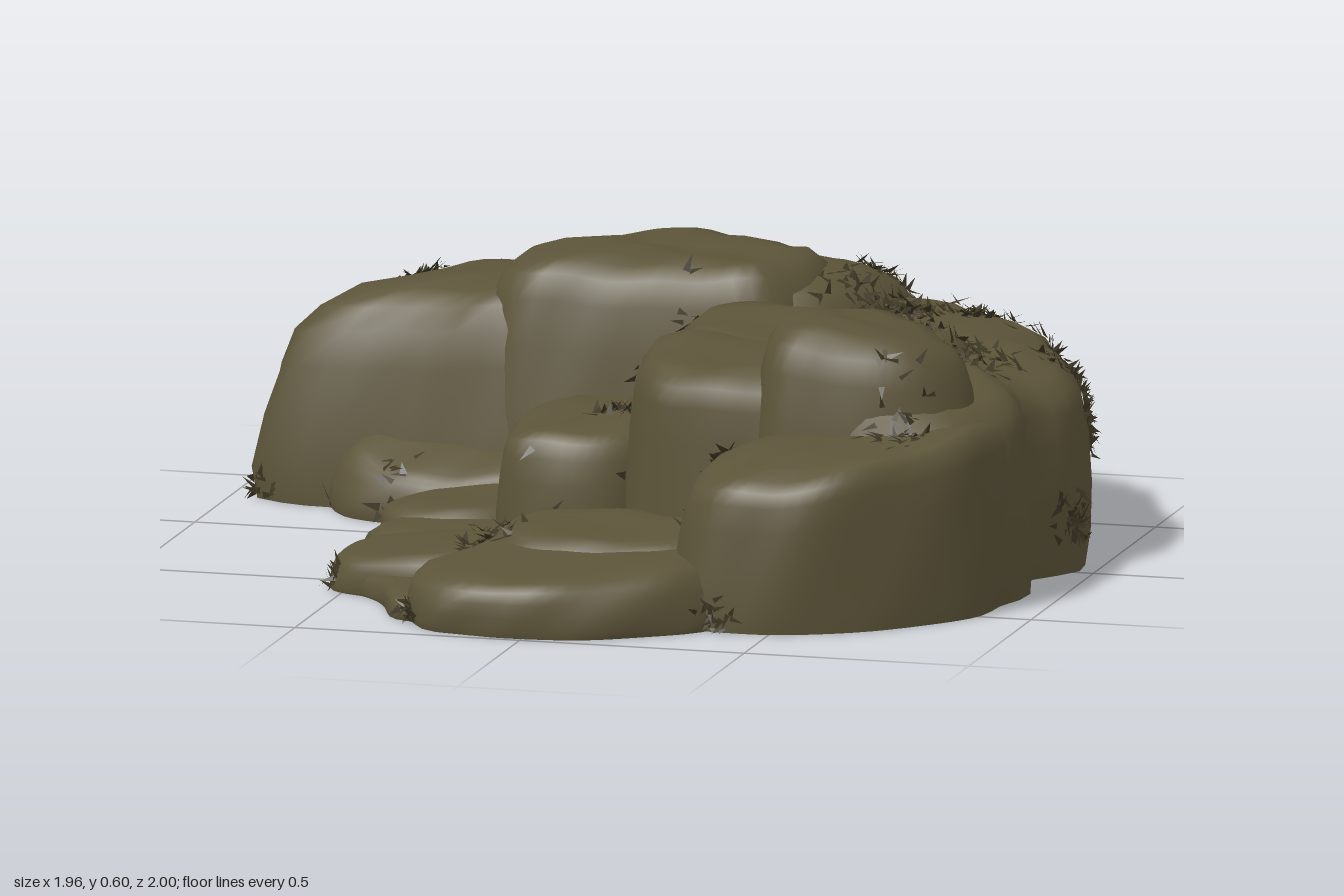
import * as THREE from 'three';

const SEGMENTS = 52;
// [outline scale, height fraction] from the ground to the crown
const BOULDER = [[0.985, 0], [1, 0.12], [1, 0.35], [0.985, 0.58], [0.955, 0.77], [0.9, 0.9], [0.8, 0.97], [0.62, 1], [0.42, 1.01], [0.2, 1]];
const CLIFF = [[0.985, 0], [1, 0.15], [0.99, 0.4], [0.975, 0.65], [0.95, 0.82], [0.91, 0.91], [0.82, 0.97], [0.62, 1], [0.42, 1], [0.2, 1]];
const SLOPED = [[0.985, 0], [1, 0.15], [0.97, 0.4], [0.93, 0.65], [0.88, 0.83], [0.82, 0.93], [0.72, 0.985], [0.55, 1], [0.35, 1.01], [0.15, 1]];
const SLAB = [[0.98, 0], [1, 0.15], [0.98, 0.4], [0.955, 0.62], [0.925, 0.78], [0.86, 0.88], [0.75, 0.95], [0.58, 1], [0.38, 1.02], [0.18, 1.02]];

// Weathered surface variation
function bump(x, y, z) {
  return 0.5 * Math.sin(9 * x + 4 * z + 2 * y) + 0.35 * Math.sin(15 * z - 8 * x + 5 * y + 1)
    + 0.3 * Math.sin(23 * x + 19 * z - 4 * y + 2);
}

// Loft one rock from its plan outline; tilt slopes the crown, lean shifts it along x and z
function rockGeometry({ outline, height, tilt = [0, 0], lean = [0, 0], profile = BOULDER }) {
  const corners = outline.map(([x, z]) => new THREE.Vector3(x, 0, z));
  const area = THREE.ShapeUtils.area(outline.map(([x, z]) => new THREE.Vector2(x, z)));
  if (area < 0) corners.reverse();
  const plan = new THREE.CatmullRomCurve3(corners, true, 'centripetal').getSpacedPoints(SEGMENTS).slice(0, SEGMENTS);
  const centre = plan.reduce((sum, p) => sum.add(p), new THREE.Vector3()).divideScalar(SEGMENTS);
  const positions = [];
  const index = [];

  const addPoint = (x, z, fraction) => {
    const top = height + tilt[0] * (x - centre.x) + tilt[1] * (z - centre.z);
    const lift = fraction * fraction * Math.min(0.014, height * 0.05) * bump(x * 1.3, 0, z * 1.3);
    positions.push(x + lean[0] * fraction, fraction * top + lift, z + lean[1] * fraction);
  };
  for (const [scale, fraction] of profile) {
    for (const p of plan) {
      const s = scale * (1 + 0.025 * bump(p.x * 1.4, fraction, p.z * 1.4)) - 0.006;
      addPoint(centre.x + (p.x - centre.x) * s, centre.z + (p.z - centre.z) * s, fraction);
    }
  }
  const crown = positions.length / 3;
  addPoint(centre.x, centre.z, 1);

  // Separate underside keeps the ground edge sharp
  const under = positions.length / 3;
  positions.push(...positions.slice(0, SEGMENTS * 3), centre.x, 0, centre.z);
  const last = (profile.length - 1) * SEGMENTS;
  for (let j = 0; j < SEGMENTS; j++) {
    const k = (j + 1) % SEGMENTS;
    for (let row = 0; row < last; row += SEGMENTS) {
      const a = row + j, b = row + k, c = a + SEGMENTS, d = b + SEGMENTS;
      index.push(a, c, b, b, c, d);
    }
    index.push(last + j, crown, last + k);
    index.push(under + j, under + k, under + SEGMENTS);
  }
  const geometry = new THREE.BufferGeometry();
  geometry.setAttribute('position', new THREE.Float32BufferAttribute(positions, 3));
  geometry.setIndex(index);
  geometry.computeVertexNormals();
  return geometry;
}

const ROCKS = {
  backSlab: { height: 0.5, tilt: [0.09, 0.11], lean: [0.05, -0.035], profile: SLAB,
    outline: [[-0.96, -0.27], [-0.91, -0.56], [-0.73, -0.74], [-0.5, -0.88], [-0.12, -0.975], [0.12, -0.94], [0.38, -0.78],
      [0.45, -0.5], [0.32, -0.23], [0, -0.2], [-0.4, -0.17], [-0.7, -0.21]] },
  backCap: { height: 0.562, tilt: [0.02, 0.06], lean: [0, -0.02], profile: SLOPED,
    outline: [[-0.42, -0.2], [0, -0.18], [0.26, -0.19], [0.36, -0.43], [0.22, -0.7], [-0.1, -0.78], [-0.4, -0.66], [-0.5, -0.42]] },
  rightMass: { height: 0.46, tilt: [-0.07, 0.03], profile: CLIFF,
    outline: [[0.1, -0.6], [0.36, -0.77], [0.73, -0.63], [0.82, -0.47], [0.94, -0.22], [0.97, 0], [0.9, 0.12],
      [0.93, 0.27], [0.86, 0.48], [0.6, 0.52], [0.15, 0.25], [0.02, 0], [0.02, -0.25]] },
  middleTerrace: { height: 0.5, profile: SLOPED,
    outline: [[0.01, -0.24], [0.3, -0.32], [0.66, -0.25], [0.78, 0], [0.7, 0.2], [0.3, 0.2], [0.05, 0.1], [0, -0.08]] },
  upperLeftBoulder: { height: 0.495, profile: CLIFF,
    outline: [[0.05, 0.04], [0.3, -0.02], [0.52, 0.08], [0.52, 0.4], [0.3, 0.45], [0.1, 0.4], [0.03, 0.24]] },
  peakBoulder: { height: 0.575, tilt: [-0.09, 0.04], lean: [-0.015, 0], profile: SLOPED,
    outline: [[0.38, 0.04], [0.55, 0], [0.7, 0.09], [0.86, 0.32], [0.8, 0.45], [0.55, 0.5], [0.38, 0.46]] },
  frontRightBoulder: { height: 0.375, tilt: [0.12, -0.09], lean: [0.015, 0], profile: CLIFF,
    outline: [[0.25, 0.64], [0.3, 0.46], [0.55, 0.38], [0.88, 0.28], [0.89, 0.48], [0.76, 0.66], [0.55, 0.8], [0.32, 0.79]] },
  frontLedge: { height: 0.14, tilt: [0.04, -0.03],
    outline: [[-0.2, 0.37], [0.1, 0.33], [0.38, 0.45], [0.38, 0.78], [0.22, 0.92], [0.02, 0.995], [-0.22, 0.96],
      [-0.3, 0.8], [-0.22, 0.6]] },
  ledgeCrown: { height: 0.165, tilt: [0.04, 0], profile: SLOPED,
    outline: [[-0.2, 0.38], [0.1, 0.33], [0.36, 0.45], [0.34, 0.66], [0.1, 0.74], [-0.15, 0.68]] },
  frontLeftStone: { height: 0.1, tilt: [0.1, 0],
    outline: [[-0.53, 0.43], [-0.44, 0.36], [-0.23, 0.36], [-0.17, 0.5], [-0.22, 0.66], [-0.42, 0.66], [-0.53, 0.6]] },
  frontFooting: { height: 0.055,
    outline: [[-0.53, 0.56], [-0.4, 0.7], [-0.3, 0.87], [0.05, 0.8], [0, 0.5], [-0.3, 0.45]] },
  middleStep: { height: 0.295,
    outline: [[-0.3, 0.05], [-0.26, -0.16], [-0.2, -0.28], [0.05, -0.28], [0.06, 0.12], [-0.04, 0.22], [-0.26, 0.2]] },
  leftStep: { height: 0.095, tilt: [0.06, 0],
    outline: [[-0.57, 0], [-0.5, -0.12], [-0.25, -0.16], [-0.23, 0.1], [-0.36, 0.18], [-0.54, 0.13]] },
  hollowFloor: { height: 0.075,
    outline: [[-0.56, 0.2], [-0.48, 0.04], [-0.1, 0], [0.35, 0.15], [0.5, 0.5], [0.2, 0.6], [-0.15, 0.5], [-0.42, 0.38], [-0.47, 0.3]] },
  slabFoot: { height: 0.16, tilt: [0, -0.45], profile: SLOPED,
    outline: [[-0.76, -0.24], [-0.71, -0.14], [-0.57, -0.08], [-0.4, -0.07], [-0.1, -0.15], [-0.1, -0.3], [-0.5, -0.34]] },
};

// Growth on upper faces: x, z, spread, leaf count
const TOP_GROWTH = [
  [0.42, -0.42, 0.15, 190], [0.58, -0.58, 0.1, 90], [0.36, -0.68, 0.08, 40], [-0.25, -0.87, 0.08, 40],
  [-0.65, -0.57, 0.07, 30], [0.72, -0.03, 0.13, 90], [0.88, -0.2, 0.08, 40], [0.7, 0.49, 0.09, 45],
  [0.29, 0.5, 0.06, 30], [-0.18, 0.6, 0.08, 40], [-0.06, 0.02, 0.06, 25], [-0.22, 0.29, 0.1, 40],
  [-0.6, -0.12, 0.06, 15], [0.03, -0.2, 0.06, 20], [0.02, 0.24, 0.05, 20],
];
// Growth on outer walls: bearing, height, spread, leaf count
const WALL_GROWTH = [
  [0.22, 0.3, 0.11, 130], [0, 0.12, 0.07, 40], [0.62, 0.33, 0.1, 45], [0.72, 0.15, 0.1, 45], [0.9, 0.3, 0.1, 50],
  [1.2, 0.22, 0.1, 50], [1.5, 0.36, 0.08, 30], [1.75, 0.25, 0.1, 30], [2.2, 0.35, 0.1, 25], [2.6, 0.1, 0.07, 15],
  [2.86, 0.03, 0.04, 20], [-2.28, 0.03, 0.04, 16], [-1.87, 0.03, 0.04, 22], [-1.13, 0.03, 0.05, 20],
  [0.85, 0.05, 0.06, 25],
];

function growthGeometry(rocks) {
  let seed = 17;
  const random = () => (seed = (seed * 16807) % 2147483647) / 2147483647;
  const spread = (r) => (random() + random() - 1) * r;
  const ray = new THREE.Raycaster();
  const positions = [];

  // A small leaf lying along the rock face, its tip slightly raised
  const addLeaf = (origin, direction) => {
    ray.set(origin, direction);
    const hit = ray.intersectObjects(rocks, false)[0];
    if (!hit) return;
    const normal = hit.face.normal;
    const root = hit.point.clone().addScaledVector(normal, 0.003);
    const along = new THREE.Vector3(spread(1), spread(1), spread(1)).projectOnPlane(normal).normalize();
    const side = new THREE.Vector3().crossVectors(along, normal).multiplyScalar(0.005 + 0.005 * random());
    const tip = root.clone().addScaledVector(along, 0.025 + 0.015 * random()).addScaledVector(normal, 0.025 * random());
    for (const p of [root.clone().add(side), root.clone().sub(side), tip]) positions.push(p.x, Math.max(p.y, 0), p.z);
  };
  for (const [x, z, r, count] of TOP_GROWTH) {
    for (let i = 0; i < count; i++) {
      addLeaf(new THREE.Vector3(x + spread(r), 2, z + spread(r)), new THREE.Vector3(0, -1, 0));
    }
  }
  for (const [bearing, y, r, count] of WALL_GROWTH) {
    for (let i = 0; i < count; i++) {
      const a = bearing + spread(r);
      const outward = new THREE.Vector3(Math.cos(a), 0, -Math.sin(a));
      const origin = outward.clone().multiplyScalar(2).setY(Math.max(0.01, y + spread(r)));
      addLeaf(origin, outward.negate());
    }
  }
  const geometry = new THREE.BufferGeometry();
  geometry.setAttribute('position', new THREE.Float32BufferAttribute(positions, 3));
  geometry.computeVertexNormals();
  return geometry;
}

export function createModel() {
  const group = new THREE.Group();
  group.name = 'rockOutcrop';
  const stone = new THREE.MeshStandardMaterial({ color: 0x5c5439 });
  stone.name = 'mossy stone';
  const growth = new THREE.MeshStandardMaterial({ color: 0x3c3623, side: THREE.DoubleSide });
  growth.name = 'dark growth';

  const rocks = Object.entries(ROCKS).map(([name, spec]) => {
    const mesh = new THREE.Mesh(rockGeometry(spec), stone);
    mesh.name = name;
    return mesh;
  });
  const leaves = new THREE.Mesh(growthGeometry(rocks), growth);
  leaves.name = 'creepingGrowth';
  group.add(...rocks, leaves);
  return group;
}
